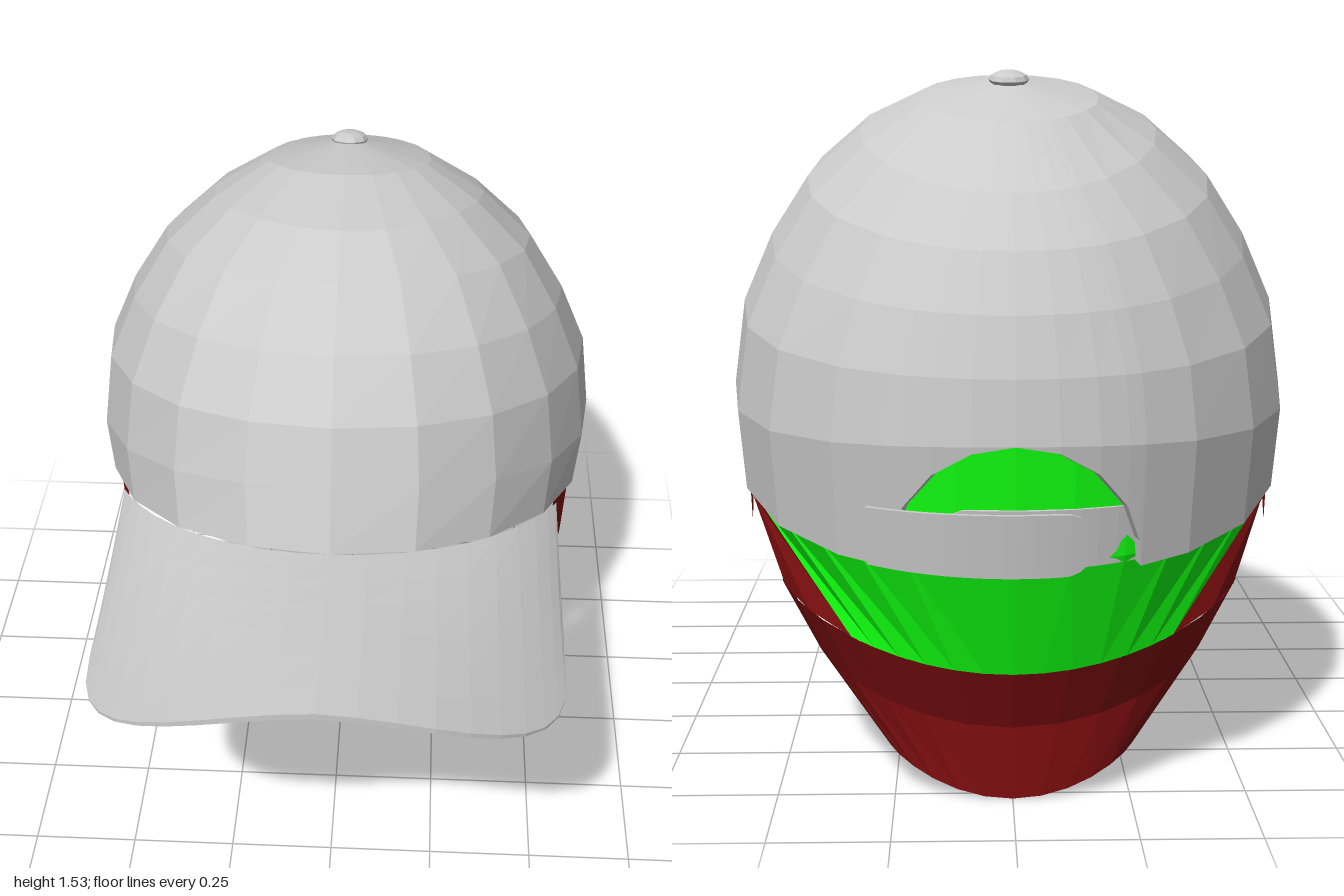
import * as THREE from 'three';

const { lerp } = THREE.MathUtils;
const material = (color) => new THREE.MeshStandardMaterial({ color, flatShading: true, side: THREE.DoubleSide });

// Mesh over a grid of points: point(i, j) gives [x, y, z] for column i, row j
function gridMesh(name, cols, rows, mat, point) {
  const pos = [], index = [];
  for (let j = 0; j <= rows; j++) for (let i = 0; i <= cols; i++) pos.push(...point(i, j));
  for (let j = 0; j < rows; j++) for (let i = 0; i < cols; i++) {
    const a = j * (cols + 1) + i, b = a + cols + 1;
    index.push(a, b, a + 1, a + 1, b, b + 1);
  }
  const geo = new THREE.BufferGeometry();
  geo.setAttribute('position', new THREE.Float32BufferAttribute(pos, 3));
  geo.setIndex(index);
  geo.computeVertexNormals();
  const mesh = new THREE.Mesh(geo, mat);
  mesh.name = name;
  return mesh;
}

// Crown rings, apex to rim: front z, front y, half width, side y, back z, back y
const RINGS = [
  [-0.42, 1.515, 0, 1.515, -0.42, 1.515],
  [-0.2, 1.527, 0.2, 1.475, -0.64, 1.42],
  [0, 1.49, 0.33, 1.405, -0.8, 1.28],
  [0.14, 1.43, 0.45, 1.3, -0.89, 1.17],
  [0.29, 1.34, 0.535, 1.17, -0.95, 1.05],
  [0.39, 1.22, 0.6, 1.02, -0.985, 0.93],
  [0.44, 1.09, 0.625, 0.83, -1.0, 0.8],
  [0.49, 0.95, 0.61, 0.68, -0.96, 0.53],
];

// Point on the crown at angle a (0 = front) and fractional ring k
function crownPoint(a, k, scale = 1) {
  const i = Math.min(Math.floor(k), 6);
  const [zf, yf, w, ys, zb, yb] = RINGS[i].map((v, n) => lerp(v, RINGS[i + 1][n], k - i));
  const c = Math.cos(a);
  const zMid = lerp(-0.42, -0.33, Math.min(1, k / 4));
  const z = zMid + c * (c > 0 ? zf - zMid : zMid - zb);
  const y = ys + c * (yf - yb) / 2 + c * c * ((yf + yb) / 2 - ys);
  return [w * Math.sin(a) * scale, 0.7 + (y - 0.7) * scale, -0.33 + (z + 0.33) * scale];
}

// Two-layer crown with an arched opening at the back
function makeCrown(mat) {
  const open = 0.43;
  const angles = [-0.43, -0.42, -0.37, -0.27, -0.14, 0, 0.14, 0.27, 0.37, 0.42, 0.43].map((d) => Math.PI + d);
  for (let n = 0; n <= 20; n++) {
    const a = n * Math.PI / 10;
    if (Math.abs(a - Math.PI) > 0.5) angles.push(a);
  }
  angles.sort((p, q) => p - q);
  return gridMesh('crown', angles.length - 1, 15, mat, (i, j) => {
    const a = angles[i], inner = j > 7;
    let k = inner ? 15 - j : j;
    const d = Math.abs(a - Math.PI) / open;
    if (k === 7 && d < 1) k = 7 - Math.sqrt(1 - d * d);
    return crownPoint(a, k, inner ? 0.94 : 1);
  });
}

// Curved brim: upper layer out to the edge, then lower layer back
function makeBrim(mat) {
  const n = 6;
  return gridMesh('brim', 20, 2 * n + 1, mat, (i, j) => {
    const u = Math.sin((i / 20 - 0.5) * Math.PI), m = Math.abs(u), x = 0.53 * u;
    const lower = j > n, v = (lower ? 2 * n + 1 - j : j) / n;
    const [, y0, z0] = crownPoint(Math.asin(x / 0.61), 7);
    const z1 = 0.62 + 0.38 * Math.pow(Math.max(0, 1 - Math.pow(m, 2.5)), 0.4);
    const y1 = 0.96 - 0.213 * Math.pow(m, 1.8);
    const drop = lower ? 0.015 * Math.sqrt(1 - m * m) : 0;
    return [x, lerp(y0, y1, Math.sin(v * Math.PI / 2)) - drop, lerp(z0, z1, v)];
  });
}

// Half of the rear strap with a rounded end; side is the direction it runs
function makeStrap(name, side, scale, mat) {
  const from = -0.5, to = 0.26, round = 0.1;
  const profile = [[1, 0], [-1, 0], [-1, 1], [1, 1], [1, 0]];
  return gridMesh(name, 16, 4, mat, (i, j) => {
    const t = 1 - Math.pow(1 - i / 16, 1.6);
    const d = lerp(from, to, t);
    const e = Math.max(0, (d - (to - round)) / round);
    const half = 0.24 * Math.sqrt(Math.max(0, 1 - e * e));
    const [h, layer] = profile[j];
    return crownPoint(Math.PI + side * d, 6.75 + h * half, scale - layer * 0.015);
  });
}

// Back hair rows, top to nape: back z, back y, edge x, edge z, edge y
const HAIR = [
  [-0.968, 0.87, 0.603, -0.32, 0.87],
  [-0.94, 0.55, 0.587, -0.38, 0.61],
  [-0.85, 0.295, 0.515, -0.46, 0.42],
  [-0.79, 0.16, 0.43, -0.5, 0.27],
  [-0.782, 0.0, 0.27, -0.65, 0.09],
];
const GREEN_LIMIT = [1.25, 1.17, 0.72];

function hairPoint(row, th) {
  const [zb, yb, xe, ze, ye] = HAIR[row];
  const s = Math.sin(th);
  return [xe * s, yb + (ye - yb) * s * s, ze + (zb - ze) * Math.cos(th)];
}

// Sideburn columns, back to front: z, lower y
const SIDEBURN = [[-0.46, 0.53], [-0.38, 0.61], [-0.2, 0.63], [-0.13, 0.56], [-0.03, 0.51], [0.06, 0.6]];

function makeHair(green, red) {
  const hair = new THREE.Group();
  hair.name = 'hair';
  hair.add(gridMesh('backHairBand', 12, 2, green, (i, j) => hairPoint(j, (i / 6 - 1) * GREEN_LIMIT[j])));
  hair.add(gridMesh('napeHair', 14, 2, red, (i, j) => hairPoint(j + 2, (i / 7 - 1) * Math.PI / 2)));
  for (const side of [-1, 1]) {
    hair.add(gridMesh('sideHair', 3, 2, red, (i, j) =>
      hairPoint(j, side * lerp(GREEN_LIMIT[j], Math.PI / 2, i / 3))));
    hair.add(gridMesh('sideburn', SIDEBURN.length - 1, 2, red, (i, j) => {
      const [z, low] = SIDEBURN[i];
      const x = (0.6 - 0.008 * j) * Math.sqrt(1 - ((z + 0.33) / 0.82) ** 2);
      return [side * x, lerp(0.86, low, j / 2), z];
    }));
  }
  return hair;
}

export function createModel() {
  const grey = material(0xcccccc);
  const cap = new THREE.Group();
  cap.name = 'cap';
  cap.add(makeCrown(grey), makeBrim(grey));
  cap.add(makeStrap('outerStrap', 1, 1.015, grey), makeStrap('innerStrap', -1, 0.965, grey));

  // Small button on top of the crown
  const button = new THREE.Mesh(new THREE.SphereGeometry(0.045, 10, 6), grey);
  button.name = 'button';
  button.scale.y = 0.45;
  button.position.set(0, 1.512, -0.425);
  button.rotation.x = -0.2;
  cap.add(button);

  const model = new THREE.Group();
  model.name = 'capWithHair';
  model.add(cap, makeHair(material(0x10ff10), material(0x800e10)));
  return model;
}
